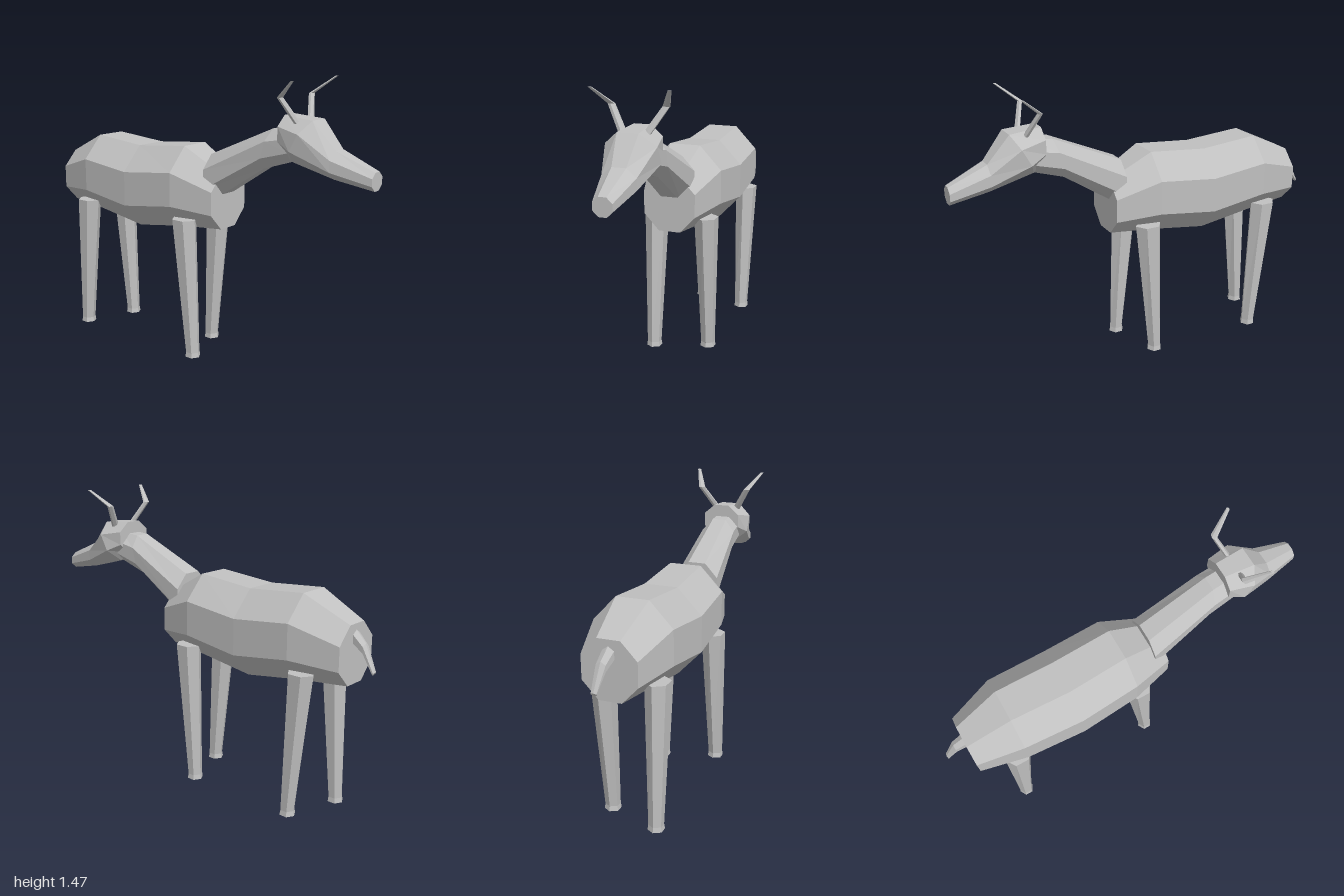
import * as THREE from 'three';

// Closed faceted tube through rings [x, y, z, halfWidth, halfHeight, tilt]
// tilt 0 faces +z, tilt PI/2 lies flat and faces down; rings run along that facing
function loft(rings, sides, phase, scale = 1) {
  const pts = rings.map(([x, y, z, w, h, tilt = 0]) =>
    Array.from({ length: sides }, (_, j) => {
      const a = phase + (j / sides) * Math.PI * 2;
      const u = Math.cos(a) * w * scale;
      const v = Math.sin(a) * h * scale;
      return [x + u, y + v * Math.cos(tilt), z + v * Math.sin(tilt)];
    }));
  const out = [];
  const tri = (...corners) => corners.forEach((p) => out.push(...p));
  for (let i = 0; i < pts.length - 1; i++) {
    const a = pts[i], b = pts[i + 1];
    for (let j = 0; j < sides; j++) {
      const k = (j + 1) % sides;
      tri(a[j], a[k], b[k]);
      tri(a[j], b[k], b[j]);
    }
  }
  const first = pts[0], last = pts[pts.length - 1];
  for (let j = 1; j < sides - 1; j++) {
    tri(first[0], first[j + 1], first[j]);
    tri(last[0], last[j], last[j + 1]);
  }
  const g = new THREE.BufferGeometry();
  g.setAttribute('position', new THREE.Float32BufferAttribute(out, 3));
  g.computeVertexNormals();
  return g;
}

// Eight sides with flat top, bottom and flanks, sized by half extents
const octagon = (rings) => loft(rings, 8, Math.PI / 8, 1 / Math.cos(Math.PI / 8));
// Six sides with a corner towards front and back
const hexagon = (rings) => loft(rings, 6, Math.PI / 2);

export function createModel() {
  const model = new THREE.Group();
  model.name = 'deer';
  const grey = new THREE.MeshStandardMaterial({ color: 0xc0c0c0, flatShading: true });
  grey.name = 'grey';
  const add = (name, geometry) => {
    const mesh = new THREE.Mesh(geometry, grey);
    mesh.name = name;
    model.add(mesh);
  };
  const FLAT = Math.PI / 2;

  add('body', octagon([
    [0, 0.838, -0.89, 0.136, 0.143],
    [0, 0.887, -0.65, 0.198, 0.208],
    [-0.002, 0.852, -0.34, 0.208, 0.218],
    [0, 0.888, 0.03 - 0.06, 0.198, 0.21],
    [0, 0.835, 0.19, 0.136, 0.143],
  ]));

  add('neck', octagon([
    [-0.003, 0.948, 0.12, 0.112, 0.122],
    [0.006, 1.13, 0.455, 0.09, 0.103, 0.25],
    [0.01, 1.163, 0.6, 0.085, 0.078],
  ]));

  add('head', octagon([
    [0.015, 1.215, 0.54, 0.098, 0.083],
    [0.015, 1.185, 0.645, 0.125, 0.114, 0.5],
    [0.022, 1.09, 0.81, 0.083, 0.066],
    [0.035, 1.033, 1.0, 0.046, 0.043],
  ]));

  add('tail', hexagon([
    [0.018, 0.77, -1.0, 0.016, 0.008, -0.5],
    [0.01, 0.87, -0.945, 0.027, 0.03],
    [0, 0.92, -0.88, 0.034, 0.04],
  ]));

  // Mirrored pairs: horns share the head's slight sideways shift
  for (const [side, s] of [['left', 1], ['right', -1]]) {
    add(side + 'Horn', hexagon([
      [0.013 + s * 0.187, 1.471, 0.676, 0.009, 0.007, FLAT],
      [0.013 + s * 0.132, 1.388, 0.575, 0.019, 0.012, FLAT],
      [0.013 + s * 0.045, 1.25, 0.63, 0.022, 0.014, FLAT],
    ]));
  }

  // Legs in mid stride, with a small flare at the hoof
  const legs = [
    ['frontLeftLeg', 1, 0.015, -0.025], ['frontRightLeg', -1, 0.015, 0.07],
    ['backLeftLeg', 1, -0.69, -0.635], ['backRightLeg', -1, -0.69, -0.73],
  ];
  for (const [name, s, topZ, footZ] of legs) {
    add(name, hexagon([
      [s * 0.138, 0.735, topZ, 0.061, 0.07, FLAT],
      [s * 0.137, 0.025, footZ, 0.038, 0.036, FLAT],
      [s * 0.137, 0, footZ, 0.042, 0.041, FLAT],
    ]));
  }
  return model;
}
